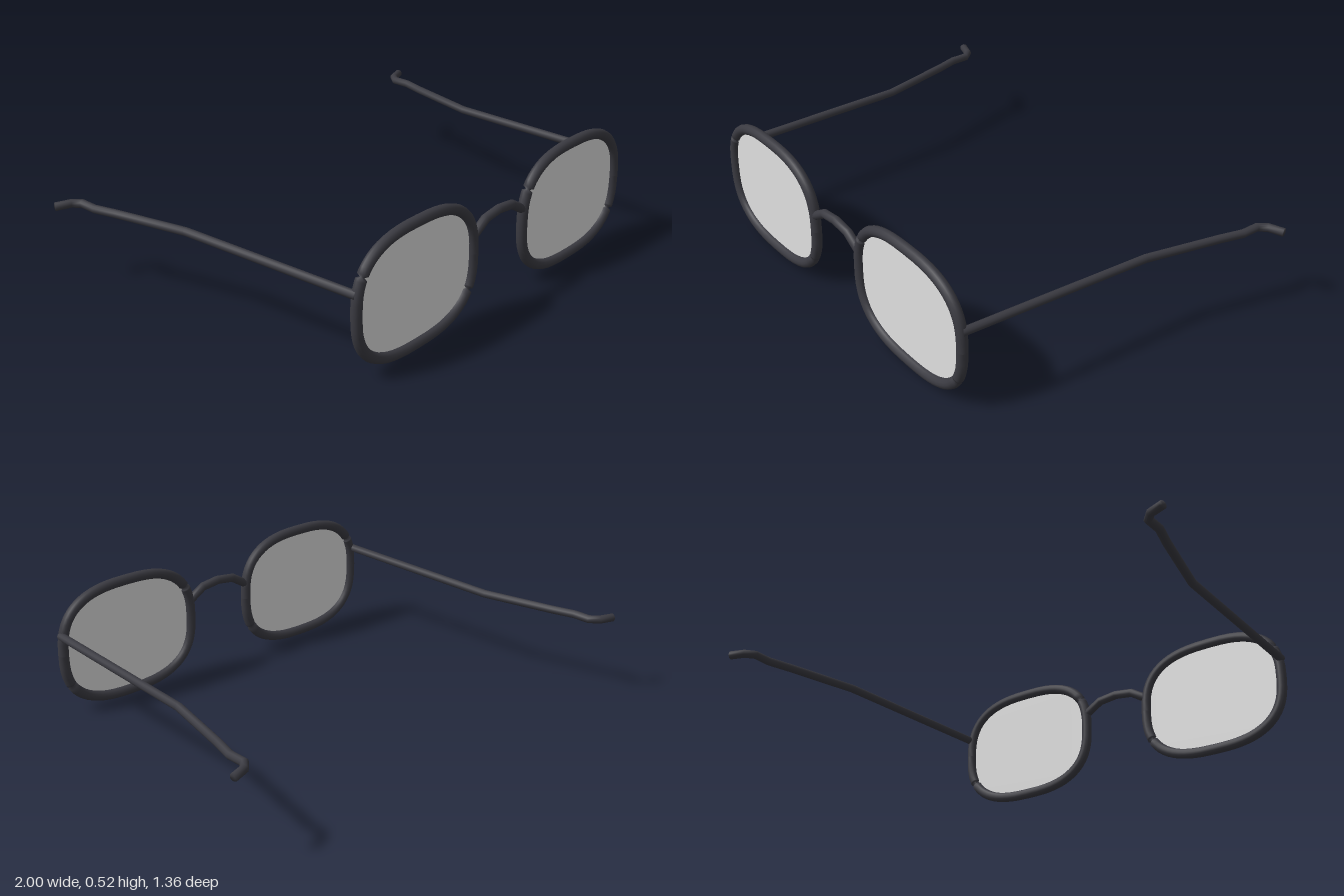
import * as THREE from 'three';

const SIDES = 12;
const FRONT_Z = 0.657;

// Sweep a round section along points [x, y, z, radiusFactor]; ref is the plane's normal
function sweep(points, radius, ref, closed) {
  const n = points.length;
  const at = (i) => new THREE.Vector3(...points[i].slice(0, 3));
  const rings = points.map((p, i) => {
    const a = at(closed ? (i + n - 1) % n : Math.max(i - 1, 0));
    const b = at(closed ? (i + 1) % n : Math.min(i + 1, n - 1));
    const side = b.sub(a).normalize().cross(ref).normalize();
    return { c: at(i), side, r: radius * (p[3] ?? 1) };
  });
  if (closed) rings.push(rings[0]);
  else {
    rings.unshift({ ...rings[0], r: 0 });
    rings.push({ ...rings[rings.length - 1], r: 0 });
  }
  const pos = [], index = [];
  rings.forEach(({ c, side, r }, i) => {
    for (let j = 0; j < SIDES; j++) {
      const a = (j / SIDES) * Math.PI * 2;
      const v = c.clone().addScaledVector(side, r * Math.cos(a)).addScaledVector(ref, r * Math.sin(a));
      pos.push(v.x, v.y, v.z);
      if (i === rings.length - 1) continue;
      const k = (j + 1) % SIDES, p = i * SIDES, q = p + SIDES;
      index.push(p + j, q + j, q + k, p + j, q + k, p + k);
    }
  });
  const g = new THREE.BufferGeometry();
  g.setAttribute('position', new THREE.Float32BufferAttribute(pos, 3));
  g.setIndex(index);
  g.computeVertexNormals();
  return g;
}

// Rounded-rectangle outline of a lens
function outline(deg) {
  const t = THREE.MathUtils.degToRad(deg), e = 2 / 2.7;
  const c = Math.cos(t), s = Math.sin(t);
  return [
    0.314 * Math.sign(c) * Math.abs(c) ** e,
    0.239 * Math.sign(s) * Math.abs(s) ** e,
  ];
}

export function createModel() {
  const group = new THREE.Group();
  const frameMat = new THREE.MeshStandardMaterial({ color: 0x3a3a41 });
  frameMat.name = 'charcoal frame';
  const lensMat = new THREE.MeshStandardMaterial({ color: 0xe0e0e0, side: THREE.DoubleSide });
  lensMat.name = 'pale grey lens';

  const add = (name, geo, mat) => {
    const m = new THREE.Mesh(geo, mat);
    m.name = name;
    group.add(m);
    return m;
  };
  const Y = new THREE.Vector3(0, 1, 0), Z = new THREE.Vector3(0, 0, 1);

  // Rim path with two pinched notches at opposite corners
  const angles = [];
  for (let d = 0; d < 360; d += 6) if (d !== 150 && d !== 330) angles.push([d, 1]);
  for (const d of [152, 332]) angles.push([d - 2, 1], [d, 0.4], [d + 2, 1]);
  angles.sort((a, b) => a[0] - b[0]);
  const rimGeo = sweep(angles.map(([d, f]) => [...outline(d), 0, f]), 0.021, Z, true);

  // Flat lens
  const lensShape = new THREE.Shape();
  for (let d = 0; d < 360; d += 6) {
    const [x, y] = outline(d);
    d ? lensShape.lineTo(x, y) : lensShape.moveTo(x, y);
  }
  const lensGeo = new THREE.ShapeGeometry(lensShape);

  for (const [side, s] of [['left', 1], ['right', -1]]) {
    add(side + 'Rim', rimGeo, frameMat).position.set(s * 0.465, 0.262, FRONT_Z);
    add(side + 'Lens', lensGeo, lensMat).position.set(s * 0.465, 0.262, FRONT_Z);

    // Temple arm bending outward to a hooked tip
    const arm = [
      [0.783, 0.344, 0.66], [0.813, 0.329, -0.135], [0.882, 0.328, -0.44],
      [0.908, 0.328, -0.535], [0.908, 0.328, -0.608], [0.936, 0.328, -0.641], [0.994, 0.328, -0.662],
    ].map(([x, y, z]) => [s * x, y, z]);
    add(side + 'Temple', sweep(arm, 0.0165, Y, false), frameMat);
  }

  // Arched bridge
  const bridge = [
    [-0.15, 0.328], [-0.08, 0.371], [0, 0.381], [0.08, 0.371], [0.15, 0.328],
  ].map(([x, y]) => [x, y, FRONT_Z]);
  add('bridge', sweep(bridge, 0.018, Z, false), frameMat);

  return group;
}
